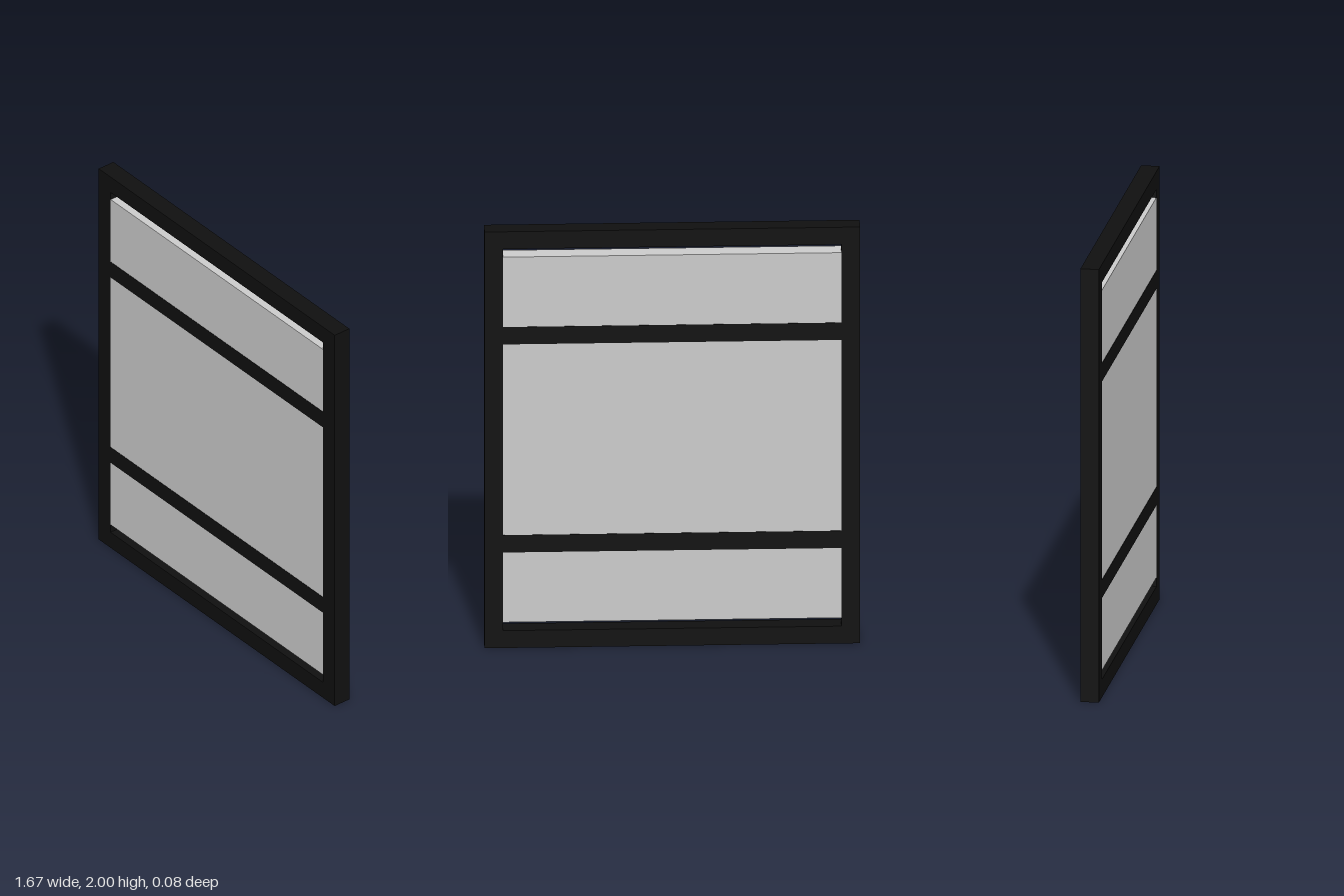
import * as THREE from 'three';

const WIDTH = 1.667, HEIGHT = 2, BAR = 0.083;
const INNER = WIDTH - 2 * BAR;

export function createModel() {
  const model = new THREE.Group();
  model.name = 'framedPanel';
  const black = new THREE.MeshStandardMaterial({ color: 0x101010 });
  const grey = new THREE.MeshStandardMaterial({ color: 0xcccccc });

  function box(name, w, h, d, x, y, material) {
    const mesh = new THREE.Mesh(new THREE.BoxGeometry(w, h, d), material);
    mesh.name = name;
    mesh.position.set(x, y, 0);
    model.add(mesh);
  }

  // Upright stiles at both sides
  for (const [name, side] of [['leftStile', 1], ['rightStile', -1]]) {
    box(name, BAR, HEIGHT, BAR, side * (WIDTH - BAR) / 2, HEIGHT / 2, black);
  }

  // Outer rails and the two crossbars between the stiles
  const rails = [
    ['bottomRail', BAR / 2],
    ['lowerCrossbar', 0.5],
    ['upperCrossbar', 1.5],
    ['topRail', HEIGHT - BAR / 2],
  ];
  for (const [name, y] of rails) box(name, INNER, BAR, BAR, 0, y, black);

  // Infill panel, almost flush, with a narrow gap at the top and bottom
  box('infillPanel', INNER, 1.755, BAR - 0.003, 0, HEIGHT / 2, grey);

  return model;
}
